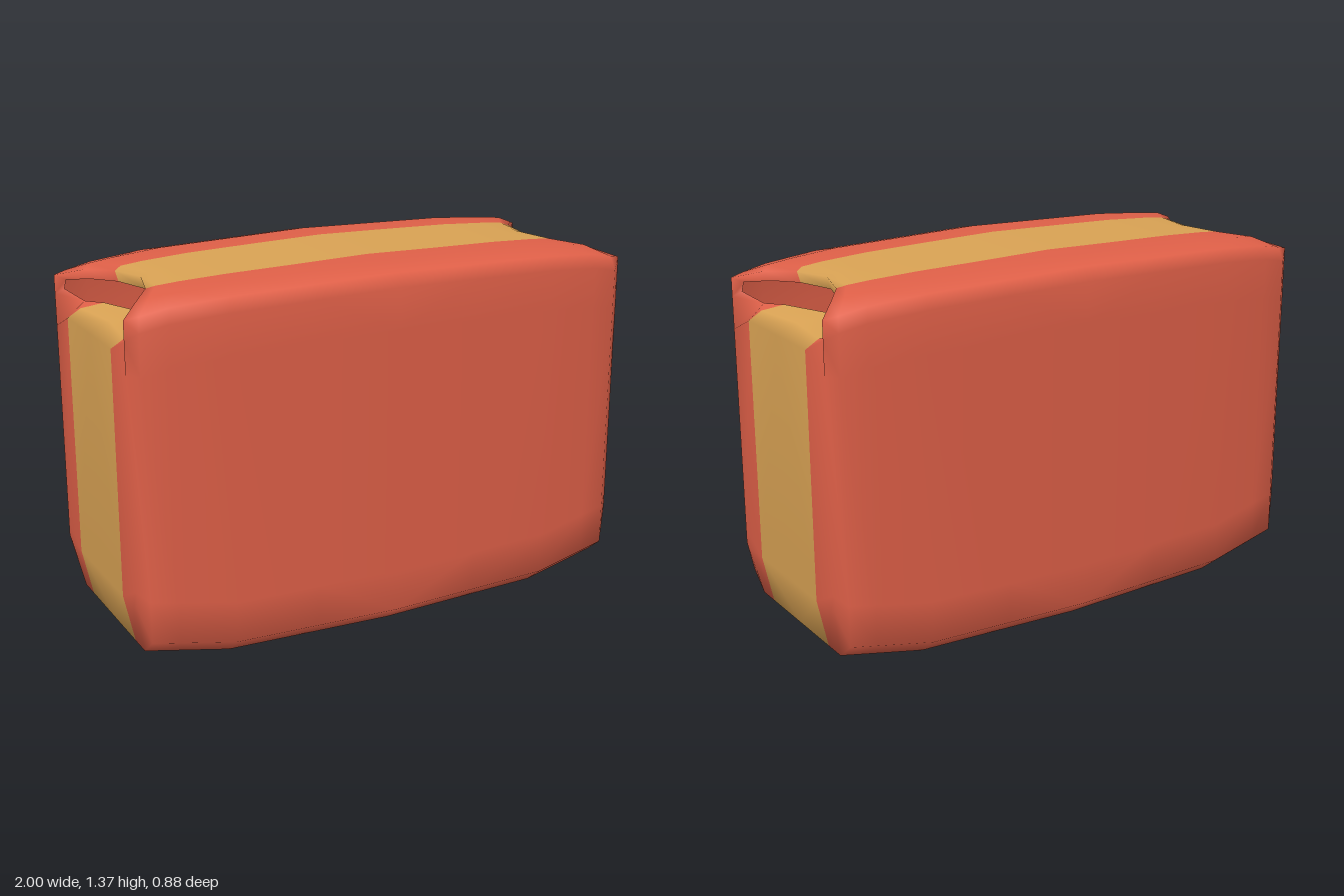
import * as THREE from 'three';
import { mergeVertices } from 'three/addons/utils/BufferGeometryUtils.js';

const red = new THREE.MeshStandardMaterial({ color: 0xe06048, side: THREE.DoubleSide });
red.name = 'coral red';
const tan = new THREE.MeshStandardMaterial({ color: 0xdaa354, side: THREE.DoubleSide });
tan.name = 'golden tan';

// piecewise linear lookup in a list of [x, value]
function lerpTable(table, x) {
  for (let i = 1; i < table.length; i++) {
    const [x0, v0] = table[i - 1], [x1, v1] = table[i];
    if (x <= x1) return v0 + (v1 - v0) * (x - x0) / (x1 - x0);
  }
  return table[table.length - 1][1];
}
const halfDepth = [[0, 0.44], [0.65, 0.428], [0.96, 0.395]];
const bottomY = [[0, 0], [0.65, 0.013], [0.96, 0.065]];
const topY = [[0, 1.372], [0.65, 1.357], [0.88, 1.337], [0.96, 1.318]];

// pulls the top panel's ends inwards towards the middle
const pull = [1, 1, 1, 1, 1, 1, 1, 0.99, 0.92, 0.845, 0.8];

// half cross-section from the bottom centre, up the front, to the top centre
function section(station) {
  return pull.map((p, j) => {
    const x = station * p;
    const d = lerpTable(halfDepth, x), b = lerpTable(bottomY, x), t = lerpTable(topY, x);
    const zy = [
      [0, b], [0.225, b], [d - 0.08, b], [d, b + 0.065], [d, b + 0.22],
      [d, t - 0.22], [d, t - 0.07], [d - 0.02, t - 0.02], [d - 0.11, t],
      [0.19 - 0.04 * x ** 3, t], [0, t],
    ][j];
    return [x, zy[1], zy[0]];
  });
}

function buildShell() {
  const faces = { red: [], tan: [] };
  const add = (colour, a, b, c, d) => {
    faces[colour].push([a, b, c]);
    if (d) faces[colour].push([a, c, d]);
  };

  // rounded sleeve: front, bottom and top
  const rings = [0, 0.33, 0.65, 0.86, 0.96].map(section);
  const end = [
    [1, 0.25, 0], [1, 0.25, 0.225], [1, 0.25, 0.335], [1, 0.265, 0.36], [1, 0.32, 0.36],
    [1, 1.1, 0.36], [1, 1.22, 0.36], [1, 1.29, 0.36], [0.915, 1.322, 0.26],
    [0.84, 1.332, 0.15], [0.8, 1.338, 0],
  ];
  rings.push(end);
  for (let i = 0; i + 1 < rings.length; i++) {
    for (let j = 0; j < 10; j++) {
      const colour = j === 0 || j === 9 ? 'tan' : 'red';
      add(colour, rings[i][j], rings[i + 1][j], rings[i + 1][j + 1], rings[i][j + 1]);
    }
  }

  // end wall with its flap folding in below the top panel
  const cap = (colour, a, b, c, d) => (d ? add(colour, d, c, b, a) : add(colour, c, b, a));
  const wall = [[1, 1.16, 0], [1, 1.16, 0.225]];
  const fold = [[0.92, 1.19, 0], [0.95, 1.19, 0.225]];
  const flap = [[0.77, 1.2, 0], [0.86, 1.2, 0.225], [0.92, 1.205, 0.265]];
  cap('tan', end[0], end[1], wall[1], wall[0]);
  cap('tan', wall[0], wall[1], fold[1], fold[0]);
  cap('tan', fold[0], fold[1], flap[1], flap[0]);
  cap('red', end[1], end[2], end[3], end[4]);
  cap('red', end[1], end[4], end[5], wall[1]);
  cap('red', wall[1], end[5], end[6], flap[2]);
  cap('red', wall[1], flap[2], fold[1]);
  cap('red', fold[1], flap[2], flap[1]);

  // turned-down lip around the slot
  const lip = [
    [0.97, 1.24, 0.337], [0.965, 1.275, 0.33], [0.9, 1.29, 0.235],
    [0.83, 1.292, 0.145], [0.785, 1.292, 0],
  ];
  cap('red', flap[2], end[6], lip[0]);
  for (let k = 0; k < 4; k++) {
    cap(k === 3 ? 'tan' : 'red', lip[k], end[6 + k], end[7 + k], lip[k + 1]);
  }

  // mirror the quarter to all four corners
  const positions = [];
  let geometry = new THREE.BufferGeometry();
  ['red', 'tan'].forEach((colour, m) => {
    const start = positions.length / 3;
    for (const sx of [1, -1]) for (const sz of [1, -1]) {
      for (const tri of faces[colour]) {
        const ordered = sx * sz > 0 ? tri : [tri[0], tri[2], tri[1]];
        for (const [x, y, z] of ordered) positions.push(x * sx, y, z * sz);
      }
    }
    geometry.addGroup(start, positions.length / 3 - start, m);
  });
  geometry.setAttribute('position', new THREE.Float32BufferAttribute(positions, 3));
  geometry = mergeVertices(geometry, 1e-4);
  geometry.computeVertexNormals();
  return geometry;
}

export function createModel() {
  const model = new THREE.Group();
  model.name = 'softPouch';
  const shell = new THREE.Mesh(buildShell(), [red, tan]);
  shell.name = 'stripedShell';
  model.add(shell);
  return model;
}
